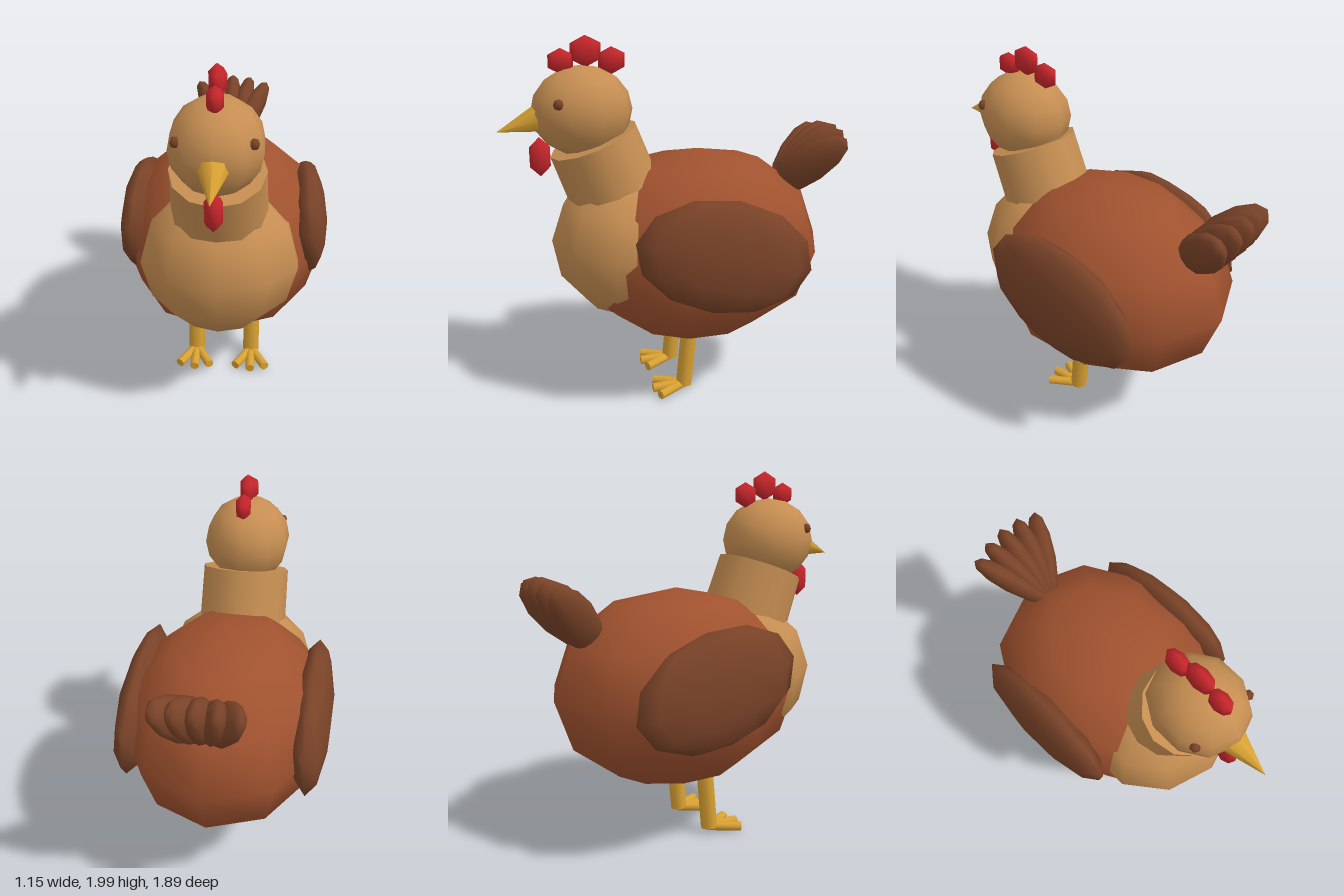
import * as THREE from 'three';

const paint = (name, color) => {
  const m = new THREE.MeshStandardMaterial({ color });
  m.name = name;
  return m;
};

export function createModel() {
  const brown = paint('chestnut brown', 0xa0522f);
  const dark = paint('dark brown', 0x7a4328);
  const tan = paint('tan', 0xc68e52);
  const red = paint('red', 0xc8262b);
  const yellow = paint('yellow', 0xdaa233);

  const hen = new THREE.Group();
  hen.name = 'hen';

  const add = (name, geometry, material, position, rotation = [0, 0, 0], parent = hen) => {
    const mesh = new THREE.Mesh(geometry, material);
    mesh.name = name;
    mesh.position.set(...position);
    mesh.rotation.set(...rotation);
    parent.add(mesh);
    return mesh;
  };

  // Low-poly ellipsoid with a column of vertices facing front and back
  const blob = (name, material, radii, position, rotation, segments = 10, rings = 6, parent = hen) => {
    const geometry = new THREE.SphereGeometry(1, segments, rings).rotateY(Math.PI / 2).scale(...radii);
    return add(name, geometry, material, position, rotation, parent);
  };

  // Cylinder running from one point to another
  const rod = (name, material, radius, from, to, parent) => {
    const a = new THREE.Vector3(...from), b = new THREE.Vector3(...to);
    const dir = b.clone().sub(a);
    const mesh = add(name, new THREE.CylinderGeometry(radius, radius, dir.length(), 8), material,
      a.clone().add(b).multiplyScalar(0.5).toArray(), [0, 0, 0], parent);
    mesh.quaternion.setFromUnitVectors(new THREE.Vector3(0, 1, 0), dir.normalize());
    return mesh;
  };

  // Body, breast, neck and head
  blob('body', brown, [0.57, 0.54, 0.72], [0, 0.84, -0.11]);
  blob('breast', tan, [0.43, 0.41, 0.405], [0, 0.89, 0.29], [-0.07, 0, 0]);
  add('neck', new THREE.CylinderGeometry(0.24, 0.25, 0.42, 12), tan, [0, 1.265, 0.38], [0.36, 0, 0]);
  blob('head', tan, [0.235, 0.235, 0.265], [0, 1.615, 0.505], [0, 0, 0], 10, 8);

  // Beak and wattle
  add('beak', new THREE.ConeGeometry(0.076, 0.234, 8), yellow, [0, 1.558, 0.833], [Math.PI / 2 + 0.28, 0, 0]);
  blob('wattle', red, [0.05, 0.105, 0.062], [0, 1.385, 0.733], [0, 0, 0], 8, 3);

  // Comb of three lobes
  for (const [y, z, r] of [[1.872, 0.605, 0.065], [1.918, 0.477, 0.08], [1.868, 0.345, 0.07]]) {
    blob('combLobe', red, [0.045, r, r * 1.13], [0, y, z], [0, 0, 0], 8, 3);
  }

  // Wings, eyes, legs and feet on both sides
  for (const s of [1, -1]) {
    const side = s > 0 ? 'left' : 'right';
    blob(side + 'Wing', dark, [0.108, 0.302, 0.487], [s * 0.472, 0.915, -0.14], [-0.245, 0, s * 0.06]);
    blob(side + 'Eye', dark, [0.028, 0.028, 0.028], [s * 0.176, 1.683, 0.643], [0, 0, 0], 6, 4);

    const leg = new THREE.Group();
    leg.name = side + 'Leg';
    hen.add(leg);
    const x = s * 0.165;
    rod('shank', yellow, 0.047, [x, 0.037, 0.002], [x, 0.368, -0.028], leg);
    for (const t of [-1, 0, 1]) {
      rod('toe', yellow, 0.026, [x, 0.04, 0], [x + t * 0.088, 0.032, t ? 0.16 : 0.183], leg);
    }
  }

  // Tail feathers fanned from a pivot on the rump
  const tail = new THREE.Group();
  tail.name = 'tail';
  tail.position.set(0, 1.11, -0.58);
  tail.rotation.x = -Math.PI / 4;
  hen.add(tail);
  for (let i = -2; i <= 2; i++) {
    const a = i * 0.22;
    blob('tailFeather', dark, [0.066, 0.25, 0.112],
      [-Math.sin(a) * 0.25, Math.cos(a) * 0.25, 0], [0, 0, a], 10, 6, tail);
  }

  return hen;
}
